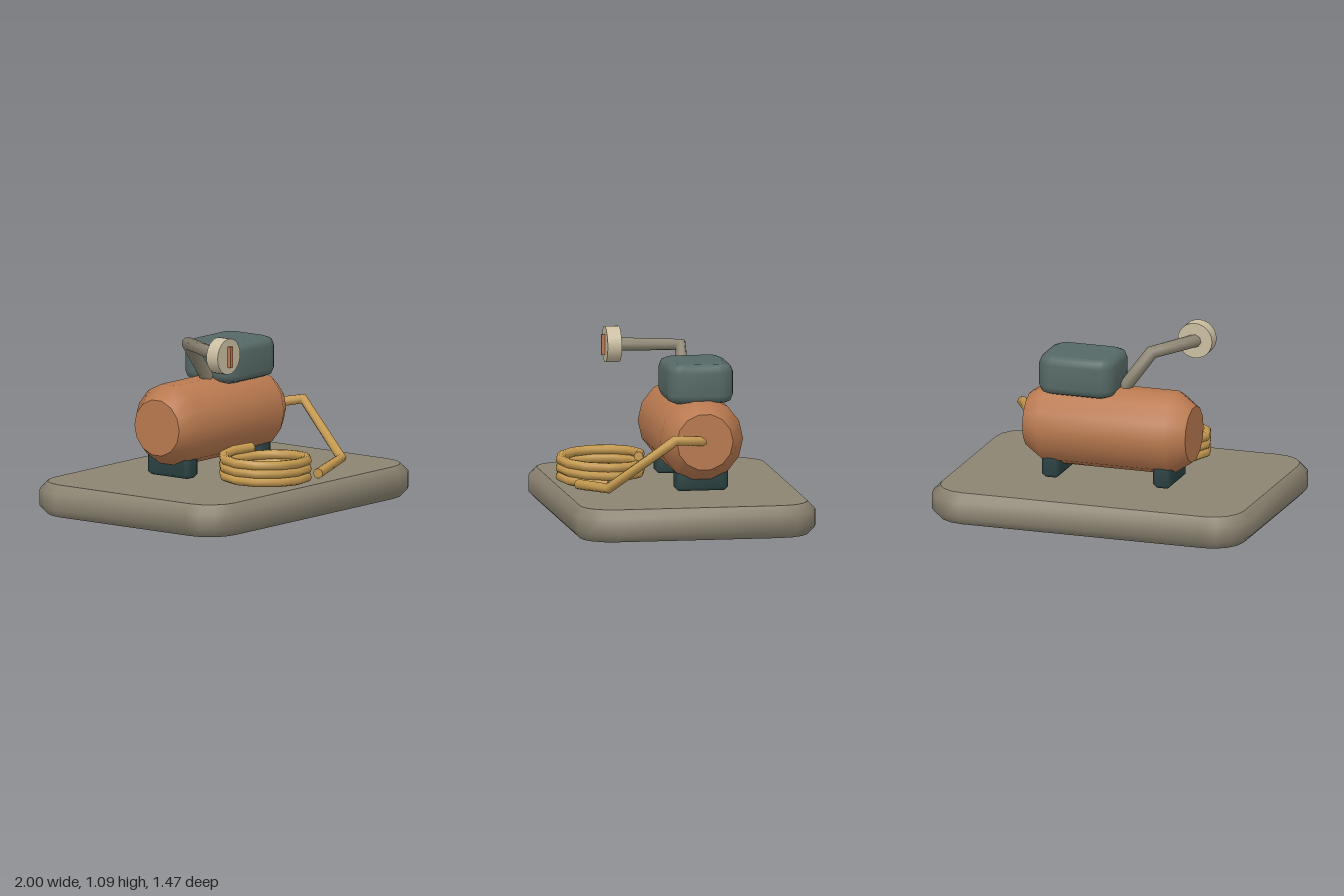
import * as THREE from 'three';
import { mergeGeometries } from 'three/addons/utils/BufferGeometryUtils.js';

const material = (name, color, side = THREE.FrontSide) => {
  const m = new THREE.MeshStandardMaterial({ color, side });
  m.name = name;
  return m;
};

// Rounded rectangle outline in the xz plane
function outline(w, d, r, segs = 4) {
  const pts = [];
  for (let c = 0; c < 4; c++) {
    const sx = c === 0 || c === 3 ? 1 : -1, sz = c < 2 ? 1 : -1;
    for (let i = 0; i <= segs; i++) {
      const a = (c + i / segs) * Math.PI / 2;
      pts.push([sx * (w / 2 - r) + r * Math.cos(a), sz * (d / 2 - r) + r * Math.sin(a)]);
    }
  }
  return pts;
}

// Indexed strip over rings of equal length, smooth along the wall
function geometryOf(positions, index) {
  const g = new THREE.BufferGeometry();
  g.setAttribute('position', new THREE.Float32BufferAttribute(positions, 3));
  g.setIndex(index);
  g.computeVertexNormals();
  return g;
}

// Upright block with rounded corners, bevelled rims and flat caps; bottom at y = 0
function softBlock(w, h, d, r, bevel, steps = 1) {
  const levels = [];
  for (let i = 0; i <= steps; i++) {
    const a = i / steps * Math.PI / 2;
    levels.push([bevel * (1 - Math.sin(a)), bevel * (1 - Math.cos(a))]);
  }
  const all = [...levels, ...levels.map(([inset, y]) => [inset, h - y]).reverse()];
  const rings = all.map(([inset, y]) =>
    outline(w - 2 * inset, d - 2 * inset, r - inset).map(([x, z]) => [x, y, z]));
  const n = rings[0].length, index = [];
  for (let j = 0; j < rings.length - 1; j++) {
    for (let i = 0; i < n; i++) {
      const a = j * n + i, b = j * n + (i + 1) % n;
      index.push(a, a + n, b, b, a + n, b + n);
    }
  }
  const top = [], bottom = [];
  for (let i = 1; i < n - 1; i++) {
    top.push(0, i + 1, i);
    bottom.push(0, i, i + 1);
  }
  return mergeGeometries([
    geometryOf(rings.flat(2), index),
    geometryOf(rings[0].flat(), bottom),
    geometryOf(rings[rings.length - 1].flat(), top),
  ]);
}

// Path with one tube ring on each given point
class Polyline extends THREE.Curve {
  constructor(points) {
    super();
    this.points = points.map(p => new THREE.Vector3(...p));
  }
  getPointAt(u, target = new THREE.Vector3()) {
    return target.copy(this.points[Math.round(u * (this.points.length - 1))]);
  }
  getTangentAt(u, target = new THREE.Vector3()) {
    const p = this.points, i = Math.round(u * (p.length - 1));
    target.set(0, 0, 0);
    if (i > 0) target.add(p[i].clone().sub(p[i - 1]).normalize());
    if (i < p.length - 1) target.add(p[i + 1].clone().sub(p[i]).normalize());
    return target.normalize();
  }
}

// Capped pipe that bends at each point
function pipe(points, radius, sides = 8) {
  const tube = new THREE.TubeGeometry(new Polyline(points), points.length - 1, radius, sides);
  tube.deleteAttribute('uv');
  const ring = j => Array.from(tube.attributes.position.array.slice(j * (sides + 1) * 3, (j * (sides + 1) + sides) * 3));
  const fan = [], back = [];
  for (let i = 1; i < sides - 1; i++) {
    fan.push(0, i, i + 1);
    back.push(0, i + 1, i);
  }
  return mergeGeometries([tube, geometryOf(ring(0), fan), geometryOf(ring(points.length - 1), back)]);
}

export function createModel() {
  const group = new THREE.Group();
  group.name = 'airCompressor';
  const stone = material('stone grey', 0x8c8472);
  const copper = material('copper', 0xba7a50);
  const slate = material('slate green', 0x566966);
  const dark = material('dark teal', 0x2b4142);
  const brass = material('brass hose', 0xc59a50, THREE.DoubleSide);
  const steel = material('pipe grey', 0x8e8674, THREE.DoubleSide);
  const cream = material('cream', 0xcabea2);

  const add = (name, geometry, mat, x = 0, y = 0, z = 0) => {
    const mesh = new THREE.Mesh(geometry, mat);
    mesh.name = name;
    mesh.position.set(x, y, z);
    group.add(mesh);
    return mesh;
  };

  // Base slab
  add('base', softBlock(2, 0.195, 1.47, 0.24, 0.05), stone);

  // Tank lying along x, with tapered shoulders
  const sides = 14;
  const wall = new THREE.LatheGeometry([
    new THREE.Vector2(0.17, -0.505), new THREE.Vector2(0.25, -0.39),
    new THREE.Vector2(0.25, 0.4), new THREE.Vector2(0.17, 0.52),
  ], sides);
  const tank = add('tank', wall, copper, 0, 0.52, -0.11);
  tank.rotation.z = -Math.PI / 2;
  for (const [name, x, turn] of [['leftTankEnd', 0.52, 1], ['rightTankEnd', -0.505, -1]]) {
    add(name, new THREE.CircleGeometry(0.17, sides), copper, x, 0.52, -0.11).rotation.y = turn * Math.PI / 2;
  }

  // Feet under the tank
  for (const [name, x] of [['leftFoot', 0.35], ['rightFoot', -0.35]]) {
    add(name, softBlock(0.115, 0.17, 0.32, 0.035, 0.02), dark, x, 0.21, -0.113);
  }

  // Motor housing on top
  add('motor', softBlock(0.475, 0.237, 0.4, 0.1, 0.05, 2), slate, 0.193, 0.73, -0.11);

  // Gauge on a bent pipe
  add('gaugePipe', pipe([[-0.06, 0.765, -0.08], [-0.23, 0.995, -0.09], [-0.385, 0.983, 0.27]], 0.04), steel);
  add('gauge', new THREE.CylinderGeometry(0.108, 0.108, 0.085, 24), cream, -0.383, 0.985, 0.2975)
    .rotation.x = Math.PI / 2;
  add('needle', new THREE.BoxGeometry(0.024, 0.125, 0.03), copper, -0.382, 0.983, 0.347);

  // Coiled hose
  const coil = [];
  for (let i = 0; i <= 34; i++) {
    const a = i * Math.PI / 6;
    coil.push([-0.125 + 0.273 * Math.cos(a), 0.223 + i * 0.0042, 0.412 + 0.24 * Math.sin(a)]);
  }
  add('hoseCoil', pipe(coil, 0.029), brass);

  // Hose lead from the coil to the tank end
  add('hoseLead', pipe([
    [0.155, 0.23, 0.59], [0.525, 0.258, 0.475], [0.645, 0.555, 0.09], [0.49, 0.52, -0.11],
  ], 0.031), brass);

  return group;
}
